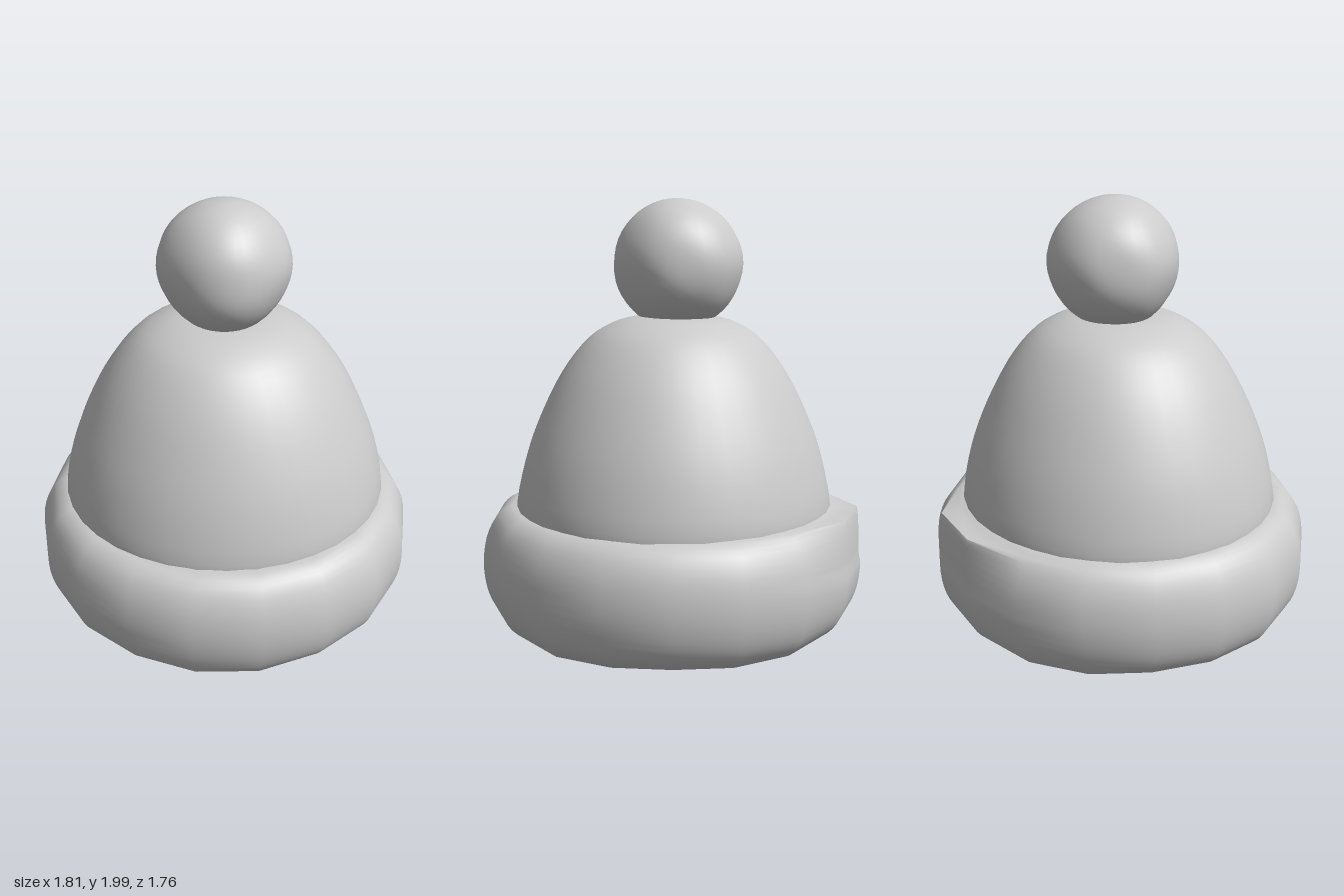
import * as THREE from 'three';
import { toCreasedNormals } from 'three/addons/utils/BufferGeometryUtils.js';

const material = new THREE.MeshStandardMaterial({ color: 0xcccccc });
const smooth = THREE.MathUtils.smoothstep;

// Move every vertex of a geometry by a rule, then smooth it
function reshape(geometry, rule) {
  const p = geometry.attributes.position;
  const v = new THREE.Vector3();
  for (let i = 0; i < p.count; i++) {
    v.fromBufferAttribute(p, i);
    rule(v);
    p.setXYZ(i, v.x, v.y, v.z);
  }
  return toCreasedNormals(geometry, 1.2);
}

// Turn a smooth curve through [radius, height] points around the y axis
function turned(points, steps, sides, phase = 0) {
  const curve = new THREE.SplineCurve(points.map(([r, y]) => new THREE.Vector2(r, y)));
  const profile = curve.getPoints(steps);
  profile.forEach((q) => { q.x = Math.max(q.x, 0); });
  return new THREE.LatheGeometry(profile, sides, phase);
}

function part(name, geometry) {
  const mesh = new THREE.Mesh(geometry, material);
  mesh.name = name;
  return mesh;
}

export function createModel() {
  const hat = new THREE.Group();
  hat.name = 'bobbleHat';

  // Domed crown, slightly shallower from front to back
  const squash = (v) => { v.z = v.z * 0.96 - 0.01; };
  const crown = turned([
    [0.74, 0.45], [0.77, 0.58], [0.725, 0.8], [0.65, 1.0], [0.545, 1.2],
    [0.425, 1.35], [0.31, 1.425], [0.18, 1.46], [0, 1.465],
  ], 28, 36);
  hat.add(part('crown', reshape(crown, squash)));

  // Inside of the crown, facing inwards
  const lining = turned([
    [0, 1.39], [0.18, 1.38], [0.36, 1.29], [0.48, 1.16], [0.58, 0.98],
    [0.65, 0.78], [0.68, 0.58], [0.66, 0.42], [0.62, 0.3],
  ], 24, 36);
  hat.add(part('lining', reshape(lining, squash)));

  // Thick rolled brim, with a wavy underside and a squarer back edge
  const brim = turned([
    [0.65, 0.4], [0.615, 0.27], [0.605, 0.14], [0.64, 0.05], [0.71, 0.015],
    [0.79, 0.035], [0.855, 0.1], [0.893, 0.2], [0.905, 0.32], [0.888, 0.44],
    [0.845, 0.53], [0.79, 0.575], [0.74, 0.585],
  ], 36, 18, Math.PI / 18);
  hat.add(part('brim', reshape(brim, (v) => {
    const angle = Math.atan2(v.x, v.z);
    const r = Math.hypot(v.x, v.z);
    const back = smooth(-Math.cos(angle), 0.88, 0.98);
    if (r > 0.8 && v.y > 0.35) {
      const grow = 1 + back * 0.85 * (0.895 / r - 1);
      v.x *= grow;
      v.z *= grow;
      v.y += back * 0.02 * smooth(v.y, 0.4, 0.55);
    }
    const low = 1 - smooth(v.y, 0.02, 0.2);
    v.y += low * (0.008 * Math.cos(5 * angle + Math.PI) + 0.003);
    v.z *= 0.99;
  })));

  // Lumpy pompom: fuller at the back, narrowing towards the front
  const ball = new THREE.SphereGeometry(1, 32, 24);
  hat.add(part('pompom', reshape(ball, (v) => {
    const { x, y, z } = v;
    const lump = 1 + 0.02 * Math.sin(5 * y + 1) * Math.sin(4 * z) * (1 - y * y);
    const taper = 1 - 0.13 * smooth(z, -0.1, 0.8) + 0.12 * smooth(-z, 0.5, 1);
    v.x = x * 0.305 * taper * lump;
    v.y = 1.7 + y * 0.3;
    v.z = -0.025 + z * 0.3 * lump;
  })));

  return hat;
}
